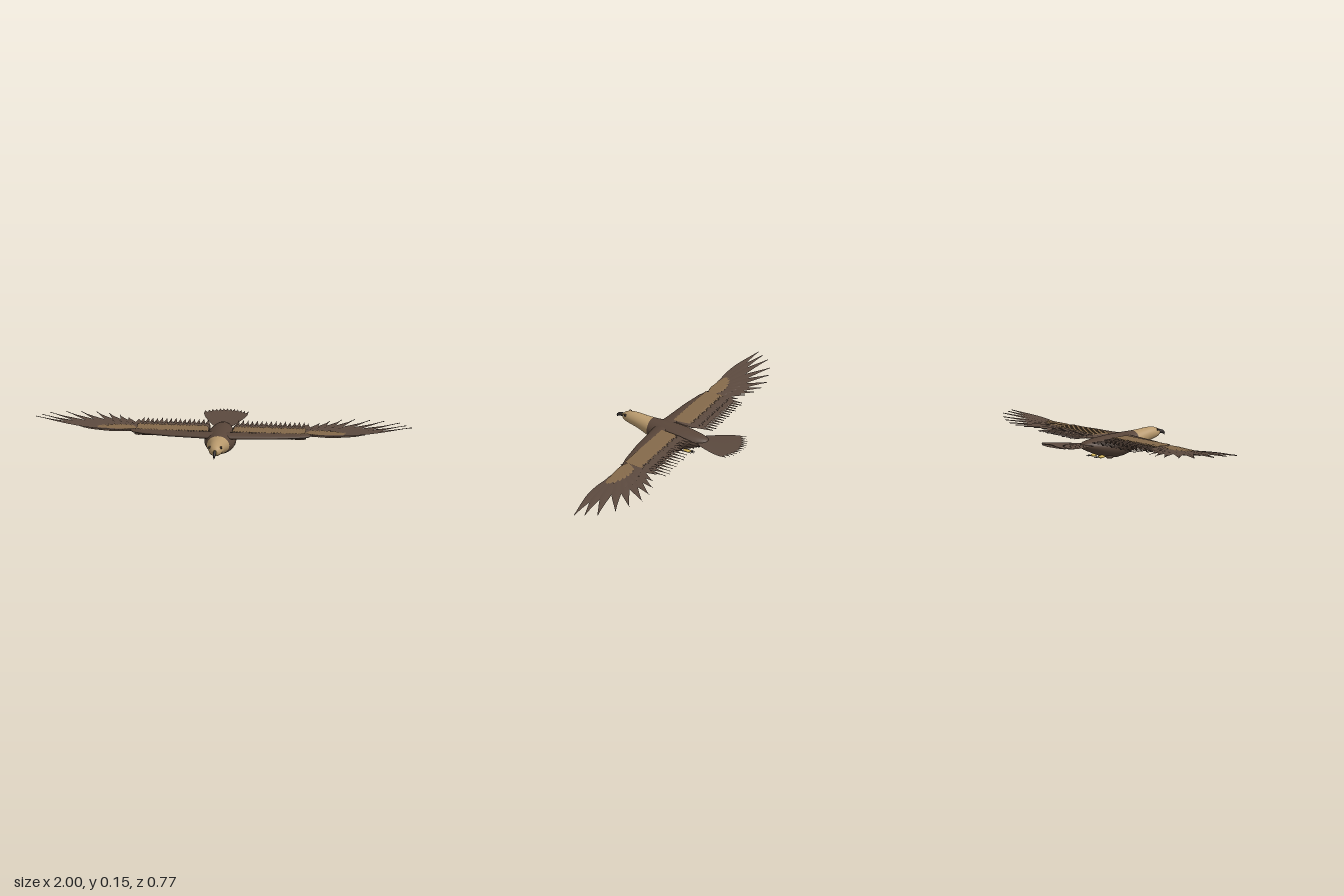
import * as THREE from 'three';
import { mergeGeometries } from 'three/addons/utils/BufferGeometryUtils.js';

const mat = (name, color) => new THREE.MeshStandardMaterial({ name, color, side: THREE.DoubleSide });
const lerp = THREE.MathUtils.lerp;

// Skin over rows of [x, y, z] points; closed rows wrap round
function skin(rows, closed) {
  const n = rows[0].length, index = [];
  for (let i = 0; i < rows.length - 1; i++) {
    for (let j = 0; j < (closed ? n : n - 1); j++) {
      const a = i * n + j, b = i * n + (j + 1) % n;
      index.push(a, b, a + n, b, b + n, a + n);
    }
  }
  const g = new THREE.BufferGeometry();
  g.setAttribute('position', new THREE.Float32BufferAttribute(rows.flat(2), 3));
  g.setIndex(index);
  g.computeVertexNormals();
  return g;
}

const POINTED = [0.5, 0.85, 1, 1, 0.85, 0.55, 0.25, 0];
const ROUND = [0.9, 1, 1, 1, 1, 0.95, 0.7, 0];

// One feather: a thin ridged blade, slightly rolled so neighbours overlap
function feather(base, tip, half, profile, bend = 0, ridge = 0.003) {
  const dx = tip[0] - base[0], dz = tip[2] - base[2], len = Math.hypot(dx, dz);
  const px = -dz / len, pz = dx / len, rows = [], n = 14;
  for (let i = 0; i <= n; i++) {
    const t = i / n, f = t * (profile.length - 1), k = Math.min(Math.floor(f), profile.length - 2);
    const w = half * lerp(profile[k], profile[k + 1], f - k), c = bend * 4 * t * (1 - t);
    rows.push([-1, 0, 1].map(e => [
      base[0] + dx * t + px * (e * w + c),
      lerp(base[1], tip[1], t) + (e === 0 ? ridge : e * 0.0015),
      base[2] + dz * t + pz * (e * w + c)]));
  }
  return skin(rows, false);
}

export function createModel() {
  const model = new THREE.Group();
  model.name = 'soaringRaptor';
  const brown = mat('brown plumage', 0x584539);
  const flight = mat('flight feather brown', 0x5c4a3f);
  const under = mat('dark underwing', 0x493a30);
  const tan = mat('covert tan', 0x84694a);
  const gold = mat('golden head', 0xb8996c);
  const yellow = mat('yellow skin', 0xd0b052);
  const horn = mat('dark horn', 0x35302f);
  const add = (name, geo, material, parent = model) => {
    const m = new THREE.Mesh(geo, material);
    m.name = name;
    parent.add(m);
    return m;
  };
  const ball = (name, material, pos, size) => {
    const m = add(name, new THREE.SphereGeometry(1, 20, 14), material);
    m.position.set(...pos);
    m.scale.set(...size);
    return m;
  };

  // Body and head: [z, top, bottom, half width]
  const profile = [
    [0.343, 0.112, 0.108, 0.003], [0.34, 0.125, 0.095, 0.016], [0.33, 0.134, 0.088, 0.025],
    [0.31, 0.141, 0.081, 0.034], [0.28, 0.144, 0.073, 0.039], [0.25, 0.143, 0.065, 0.042],
    [0.21, 0.138, 0.051, 0.048], [0.165, 0.134, 0.034, 0.058], [0.12, 0.132, 0.018, 0.071],
    [0.08, 0.13, 0.007, 0.08], [0.04, 0.127, 0.002, 0.084], [0, 0.124, 0.003, 0.082],
    [-0.04, 0.12, 0.012, 0.075], [-0.08, 0.115, 0.026, 0.064], [-0.12, 0.109, 0.043, 0.05],
    [-0.15, 0.102, 0.056, 0.036], [-0.168, 0.094, 0.066, 0.022], [-0.175, 0.082, 0.078, 0.003]];
  const rings = profile.map(([z, top, bottom, half]) => Array.from({ length: 36 }, (_, j) => {
    const a = j / 36 * Math.PI * 2;
    return [Math.cos(a) * half, (top + bottom) / 2 + Math.sin(a) * (top - bottom) / 2, z];
  }));
  rings.forEach(r => r.reverse());
  add('headAndNeck', skin(rings.slice(0, 8).map(r => [...r].reverse()).reverse(), true), gold);
  add('body', skin(rings.slice(7).map(r => [...r].reverse()).reverse(), true), brown);

  // Cere and hooked beak
  ball('cere', yellow, [0, 0.111, 0.341], [0.011, 0.013, 0.007]);
  const beakRows = [[0.343, 0.112, 0.012], [0.355, 0.113, 0.012], [0.367, 0.111, 0.0105],
    [0.376, 0.106, 0.008], [0.382, 0.099, 0.005], [0.384, 0.091, 0.0005]]
    .map(([z, y, r], i) => Array.from({ length: 14 }, (_, j) => {
      const a = j / 14 * Math.PI * 2, tilt = i / 5 * 1.35;
      return [Math.cos(a) * r * 0.7, y + Math.sin(a) * r * Math.cos(tilt), z + Math.sin(a) * r * Math.sin(tilt)];
    }));
  add('beak', skin(beakRows, true), horn);

  // Tail fan
  const tail = [];
  for (let i = -6; i <= 6; i++) {
    const u = i / 6;
    tail.push(feather([0.03 * u, 0.083, -0.13], [0.122 * u, 0.096, -0.383 + 0.045 * u * u],
      0.019, ROUND, 0.006 * u, 0.002));
  }
  add('tailFan', mergeGeometries(tail), flight);

  const lift = x => 0.04 * Math.max(0, (x - 0.45) / 0.55) ** 2;
  // Finger feather tips, inner to outer: [x, z]
  const tips = [[0.46, -0.125], [0.52, -0.14], [0.575, -0.17], [0.64, -0.188], [0.71, -0.19],
    [0.79, -0.167], [0.865, -0.138], [0.945, -0.09], [0.975, -0.04], [1, 0]];

  for (const s of [1, -1]) {
    const side = s > 0 ? 'left' : 'right';
    const wing = new THREE.Group();
    wing.name = side + 'Wing';
    model.add(wing);
    const row = (name, list, material) => {
      const geo = mergeGeometries(list.map(([b, t, ...rest]) => {
        const g = feather(b, t, ...rest);
        g.scale(s, 1, 1);
        g.computeVertexNormals();
        return g;
      }));
      add(name, geo, material, wing);
    };
    // Evenly spaced arm row running backwards
    const armRow = (n, z0, y0, z1, y1, half, shape, ridge) => Array.from({ length: n }, (_, i) => {
      const x = lerp(0.075, 0.43, i / (n - 1));
      return [[x, y0, z0], [x + 0.008, y1, z1 - 0.008 * (i % 3 === 1)], half, shape, 0, ridge];
    });

    // Leading edge of the arm
    const edge = [[0.03, 0.09, 0.04], [0.1, 0.086, 0.037], [0.27, 0.076, 0.034], [0.4, 0.064, 0.028],
      [0.46, 0.055, 0.02], [0.48, 0.052, 0.001]]
      .map(([x, z, r]) => Array.from({ length: 18 }, (_, j) => {
        const a = j / 18 * Math.PI * 2;
        return [s * x, 0.109 + Math.sin(a) * r * 0.38, z + Math.cos(a) * r];
      }));
    add('armLeadingEdge', skin(edge, true), brown, wing);

    // Arm feathers
    row('secondaries', armRow(15, 0.05, 0.11, -0.162, 0.106, 0.018, POINTED), flight);
    row('greaterCoverts', armRow(19, 0.05, 0.115, -0.083, 0.114, 0.016, ROUND), flight);
    row('lesserCoverts', armRow(23, 0.066, 0.122, -0.034, 0.119, 0.014, ROUND), tan);
    row('underwingCoverts', armRow(15, 0.09, 0.102, -0.085, 0.104, 0.022, ROUND, -0.003), under);

    // Hand feathers fanned from the wrist
    const hand = tips.map(([x, z], i) => {
      const u = i / (tips.length - 1);
      return { base: [lerp(0.43, 0.56, u), 0.111, lerp(0.045, 0.046, u)], tip: [x, 0.113 + lift(x), z], u };
    });
    const part = (h, k, dy) => [lerp(h.base[0], h.tip[0], k), lerp(0.111, h.tip[1], k * k) + dy, lerp(h.base[2], h.tip[2], k)];
    row('primaries', hand.map(h => [h.base, h.tip, lerp(0.03, 0.026, h.u), POINTED, 0.014 * h.u]), flight);
    row('handGreaterCoverts', hand.map(h => [part(h, 0, 0.004), part(h, 0.5, 0.004), 0.023, ROUND, 0.007 * h.u]), flight);
    row('handLesserCoverts', hand.slice(2).map(h => [part(h, -0.05, 0.009), part(h, 0.26, 0.007), 0.018, ROUND]), tan);
    row('handUnderCoverts', hand.map(h => [part(h, 0, -0.005), part(h, 0.45, -0.003), 0.024, ROUND, 0.006 * h.u, -0.003]), under);

    // Eye, brow and tucked leg
    ball(side + 'Eye', horn, [s * 0.03, 0.127, 0.314], [0.005, 0.005, 0.006]);
    ball(side + 'Brow', brown, [s * 0.029, 0.132, 0.315], [0.006, 0.002, 0.009]);
    ball(side + 'Thigh', brown, [s * 0.034, 0.014, -0.013], [0.017, 0.012, 0.024]);
    ball(side + 'Foot', yellow, [s * 0.034, 0.018, -0.068], [0.012, 0.008, 0.022]);
    for (const k of [-1, 0, 1]) {
      const claw = add(side + 'Claw', new THREE.ConeGeometry(0.003, 0.022, 8), horn);
      claw.position.set(s * 0.034 + k * 0.008, 0.018, -0.104);
      claw.rotation.x = -Math.PI / 2 - 0.2;
    }
  }
  return model;
}
